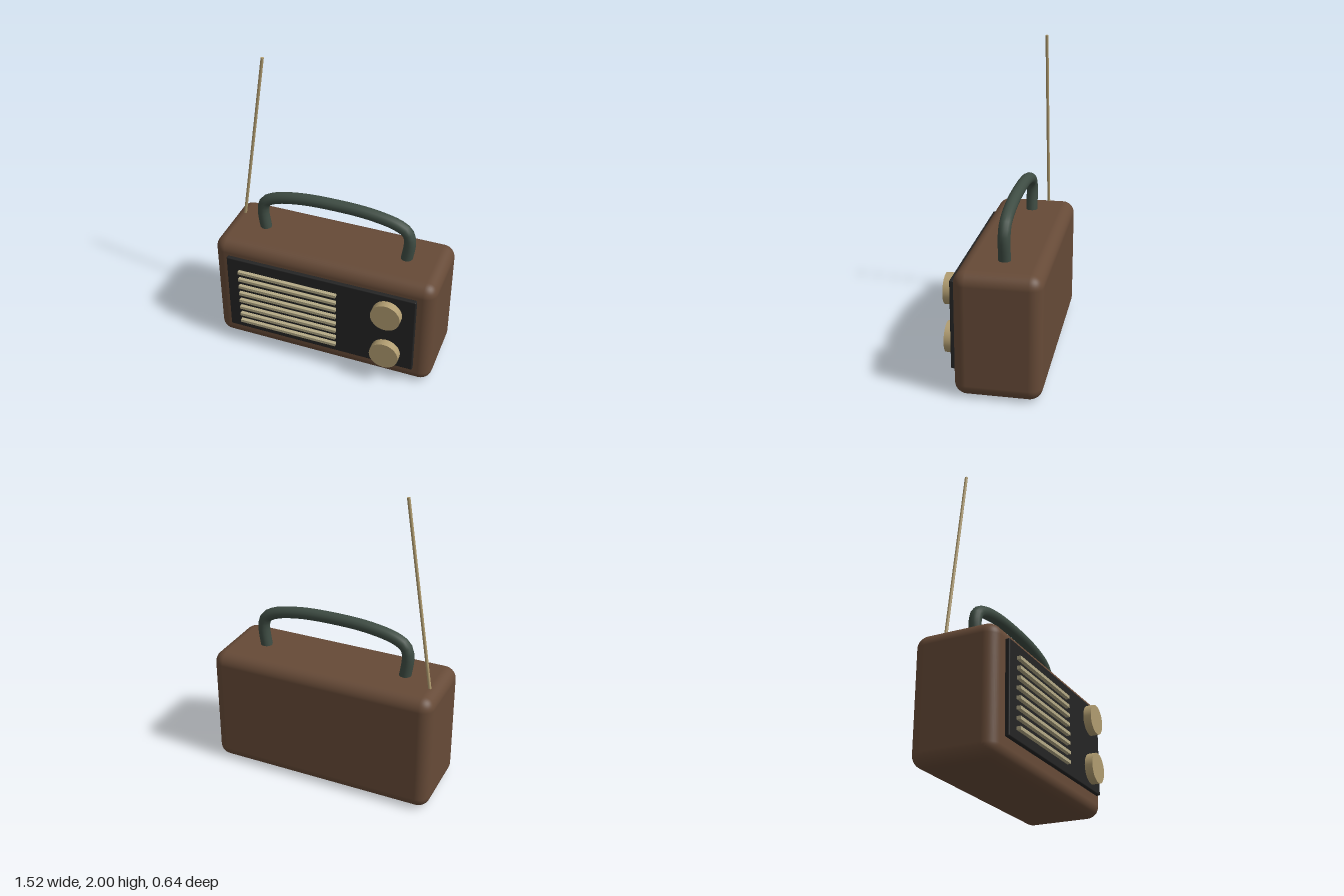
import * as THREE from 'three';
import { RoundedBoxGeometry } from 'three/addons/geometries/RoundedBoxGeometry.js';

function material(name, color) {
  const m = new THREE.MeshStandardMaterial({ color });
  m.name = name;
  return m;
}

export function createModel() {
  const radio = new THREE.Group();
  radio.name = 'portableRadio';

  const brown = material('brown case', 0x664a37);
  const black = material('black panel', 0x242424);
  const brass = material('brass', 0xb09c70);
  const cream = material('pale slats', 0xb4aa86);
  const green = material('dark green grip', 0x3e4c43);

  const add = (name, geometry, mat, x = 0, y = 0, z = 0) => {
    const mesh = new THREE.Mesh(geometry, mat);
    mesh.name = name;
    mesh.position.set(x, y, z);
    radio.add(mesh);
    return mesh;
  };

  // Rounded case and front panel
  add('case', new RoundedBoxGeometry(1.52, 0.8, 0.54, 5, 0.08), brown, 0, 0.4, -0.05);
  add('frontPanel', new RoundedBoxGeometry(1.3, 0.58, 0.03, 2, 0.008), black, 0, 0.42, 0.24);

  // Speaker slats
  const slat = new THREE.BoxGeometry(0.685, 0.02, 0.025);
  for (let i = 0; i < 8; i++) {
    add(`speakerSlat${i + 1}`, slat, cream, -0.22, 0.2 + i * 0.06, 0.268);
  }

  // Two round knobs
  const knob = new THREE.CylinderGeometry(0.098, 0.098, 0.052, 32).rotateX(Math.PI / 2);
  add('upperKnob', knob, brass, 0.47, 0.582, 0.293);
  add('lowerKnob', knob, brass, 0.47, 0.256, 0.293);

  // Carrying handle, mirrored about the middle
  const half = [[0.488, 0.77], [0.507, 0.94], [0.487, 1.0], [0.42, 1.042], [0.24, 1.08]];
  const points = [
    ...half.map(([x, y]) => new THREE.Vector3(-x, y, 0)),
    new THREE.Vector3(0, 1.091, 0),
    ...half.slice().reverse().map(([x, y]) => new THREE.Vector3(x, y, 0)),
  ];
  const path = new THREE.CatmullRomCurve3(points);
  add('handle', new THREE.TubeGeometry(path, 40, 0.039, 14), green, 0, 0, -0.05);

  // Leaning antenna
  const foot = new THREE.Vector3(-0.69, 0.78, -0.14);
  const tip = new THREE.Vector3(-0.505, 1.998, -0.14);
  const antenna = add('antenna', new THREE.CylinderGeometry(0.01, 0.01, foot.distanceTo(tip), 10), brass);
  antenna.position.copy(foot).lerp(tip, 0.5);
  antenna.quaternion.setFromUnitVectors(new THREE.Vector3(0, 1, 0), tip.clone().sub(foot).normalize());

  return radio;
}
